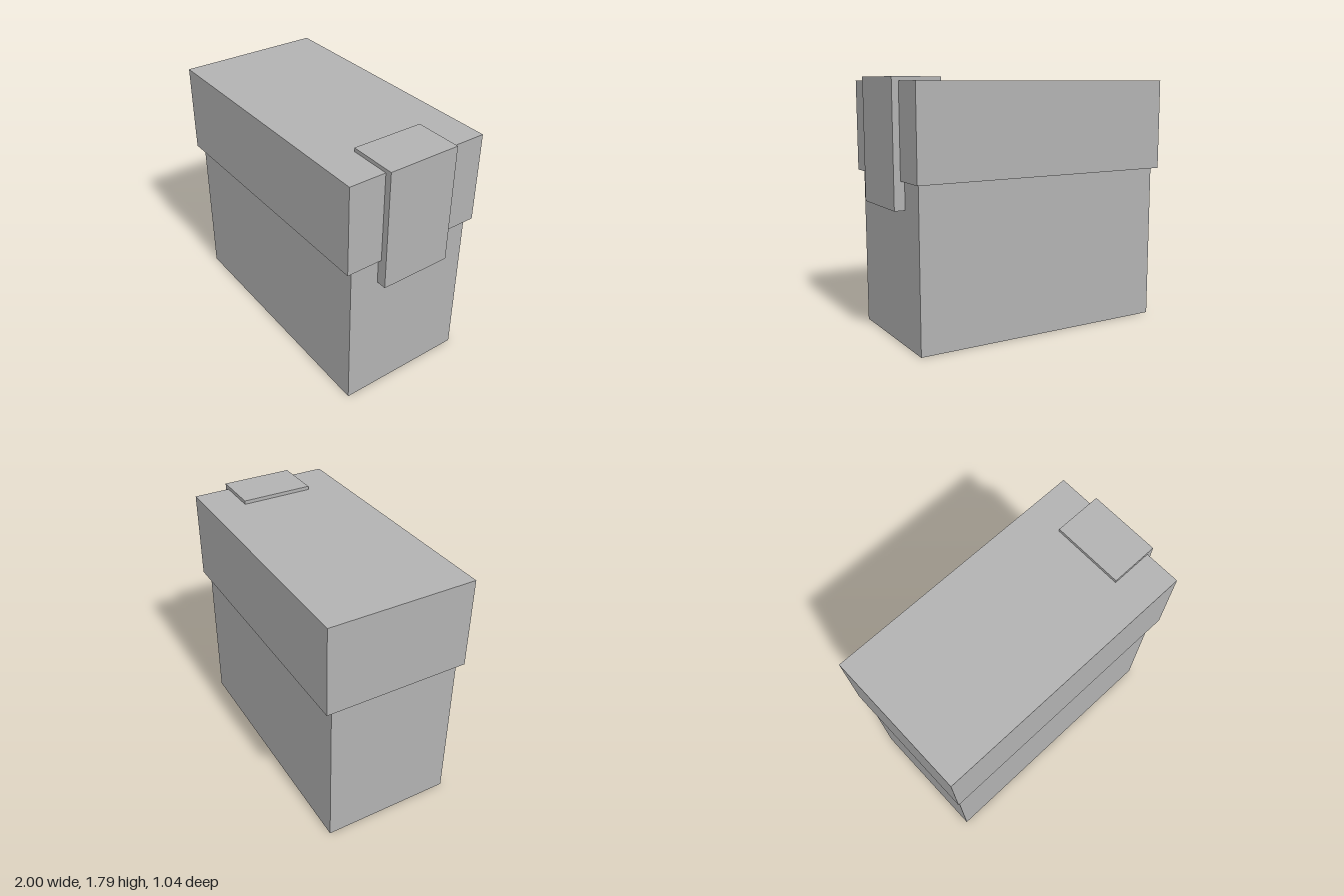
import * as THREE from 'three';

export function createModel() {
  const group = new THREE.Group();
  const grey = new THREE.MeshStandardMaterial({ color: 0xb2b2b2 });
  grey.name = 'grey';

  const add = (name, geometry) => {
    const mesh = new THREE.Mesh(geometry, grey);
    mesh.name = name;
    group.add(mesh);
  };

  // Box from its x and y limits and its half depth
  const box = (x0, x1, y0, y1, halfZ) =>
    new THREE.BoxGeometry(x1 - x0, y1 - y0, halfZ * 2)
      .translate((x0 + x1) / 2, (y0 + y1) / 2, 0);

  add('body', box(-0.973, 0.925, 0, 1.125, 0.474));
  add('lid', box(-1, 0.953, 1.125, 1.768, 0.522));

  // Strap folded over the lid's edge: an L-shaped profile stepped around the lid
  const profile = new THREE.Shape([
    [0.653, 1.768], [0.953, 1.768], [0.953, 1.125], [0.925, 1.125],
    [0.925, 0.932], [1, 0.932], [1, 1.794], [0.653, 1.794],
  ].map(([x, y]) => new THREE.Vector2(x, y)));
  const strap = new THREE.ExtrudeGeometry(profile, { depth: 0.52, bevelEnabled: false });
  add('strap', strap.translate(0, 0, -0.26));

  return group;
}
